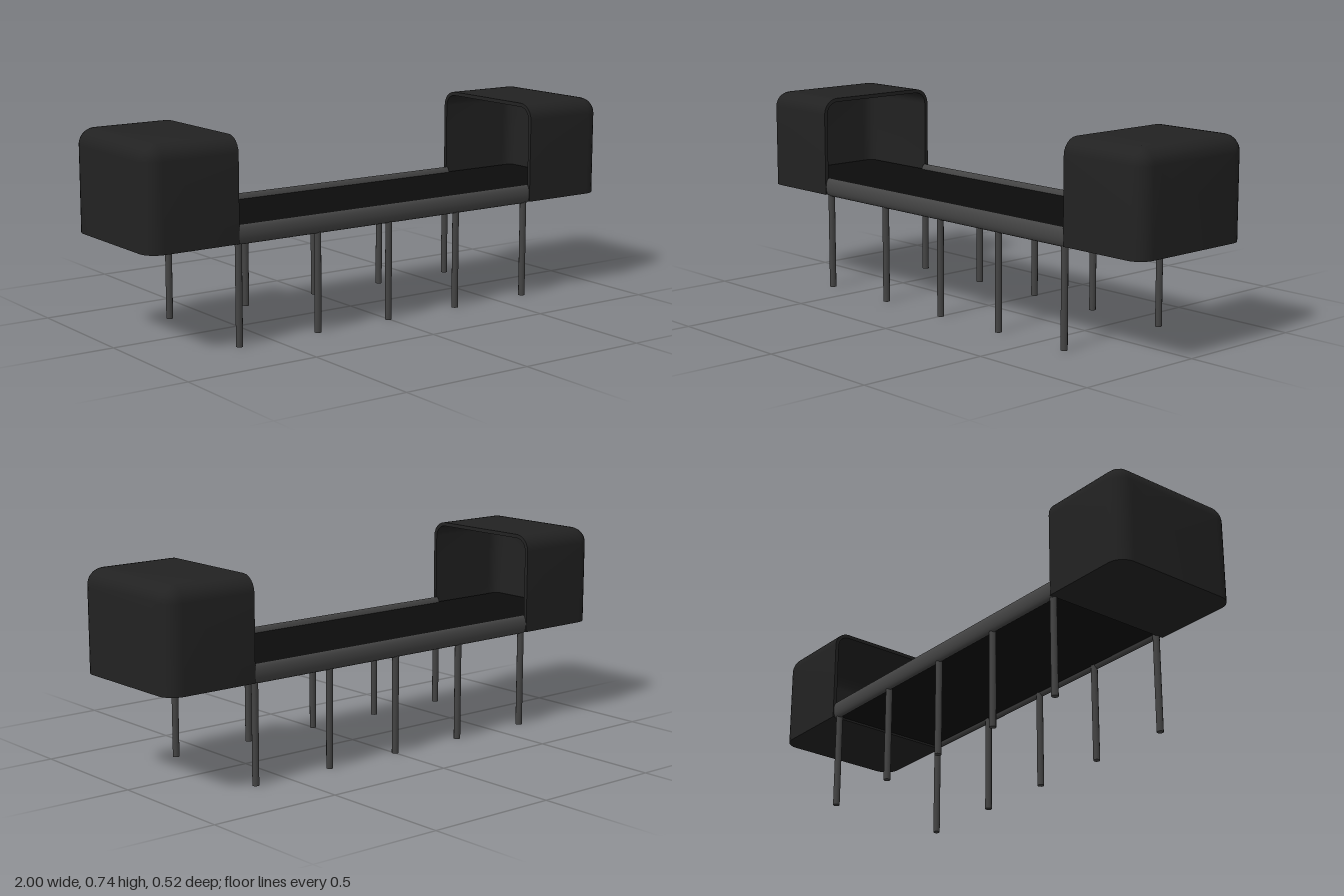
import * as THREE from 'three';
import { toCreasedNormals } from 'three/addons/utils/BufferGeometryUtils.js';

const HOOD = { inner: 0.648, outer: 1, bottom: 0.365, top: 0.735, half: 0.26, radius: 0.06 };
const ARC = 6;

// Arch-shaped section with a flat bottom and rounded top corners, at one x
function section(x, half, bottom, top, radius) {
  const r = Math.max(radius, 0.002);
  const points = [[x, bottom, half]];
  for (const side of [1, -1]) {
    for (let i = 0; i <= ARC; i++) {
      const a = (side > 0 ? i : ARC - i) / ARC * Math.PI / 2;
      points.push([x, top - r + r * Math.sin(a), side * (half - r + r * Math.cos(a))]);
    }
  }
  points.push([x, bottom, -half]);
  return points;
}

// Sections of one skin from the rounded closed end to the open mouth
function skin(offset) {
  const { inner, outer, bottom, top, half, radius } = HOOD;
  const r = radius - offset;
  const rings = [];
  for (let i = ARC; i >= 0; i--) {
    const a = i / ARC * Math.PI / 2;
    const inset = offset + r * (1 - Math.cos(a));
    rings.push(section(outer - radius + r * Math.sin(a), half - inset, bottom + offset, top - inset, radius - inset));
  }
  rings.push(section(inner, half - offset, bottom + offset, top - offset, r));
  return rings;
}

// Hollow shell: outer skin to the mouth, then inner skin back to the end wall
function hoodGeometry() {
  const rings = [...skin(0), ...skin(0.014).reverse()];
  const n = rings[0].length;
  const positions = rings.flat(2);
  const index = [];
  for (let i = 0; i < rings.length - 1; i++) {
    for (let j = 0; j < n; j++) {
      const k = (j + 1) % n;
      const a = i * n + j, b = i * n + k, c = b + n, d = a + n;
      index.push(a, b, c, a, c, d);
    }
  }
  // End walls, outside and inside
  const last = (rings.length - 1) * n;
  const centre = rings.length * n;
  const midY = (HOOD.bottom + HOOD.top) / 2;
  positions.push(rings[0][0][0], midY, 0, rings.at(-1)[0][0], midY, 0);
  for (let j = 0; j < n; j++) {
    const k = (j + 1) % n;
    index.push(centre, k, j, centre + 1, last + j, last + k);
  }
  const geometry = new THREE.BufferGeometry();
  geometry.setAttribute('position', new THREE.Float32BufferAttribute(positions, 3));
  geometry.setIndex(index);
  return toCreasedNormals(geometry, 0.6);
}

export function createModel() {
  const model = new THREE.Group();
  const hoodMat = new THREE.MeshStandardMaterial({ color: 0x222222 });
  const deckMat = new THREE.MeshStandardMaterial({ color: 0x0b0b0b });
  const frameMat = new THREE.MeshStandardMaterial({ color: 0x444444 });

  const add = (name, geometry, material, x = 0, y = 0, z = 0) => {
    const mesh = new THREE.Mesh(geometry, material);
    mesh.name = name;
    mesh.position.set(x, y, z);
    model.add(mesh);
    return mesh;
  };

  // Hoods at both ends, mouths facing each other
  const hood = hoodGeometry();
  add('leftHood', hood, hoodMat);
  add('rightHood', hood, hoodMat).rotation.y = Math.PI;

  // Deck running through into both hoods
  add('deck', new THREE.BoxGeometry(1.96, 0.036, 0.475), deckMat, 0, 0.391, 0);

  // Oval side rails, each on a row of five legs
  const rail = new THREE.CylinderGeometry(1, 1, 1.296, 16);
  rail.rotateZ(Math.PI / 2);
  rail.scale(1, 0.035, 0.016);
  const leg = new THREE.CylinderGeometry(0.0125, 0.0125, 0.38, 10);
  for (const side of [1, -1]) {
    const prefix = side > 0 ? 'front' : 'back';
    add(prefix + 'Rail', rail, frameMat, 0, 0.394, side * 0.242);
    for (const x of [-0.64, -0.312, -0.002, 0.307, 0.635]) {
      add(prefix + 'Leg', leg, frameMat, x, 0.19, side * 0.238);
    }
  }
  return model;
}
